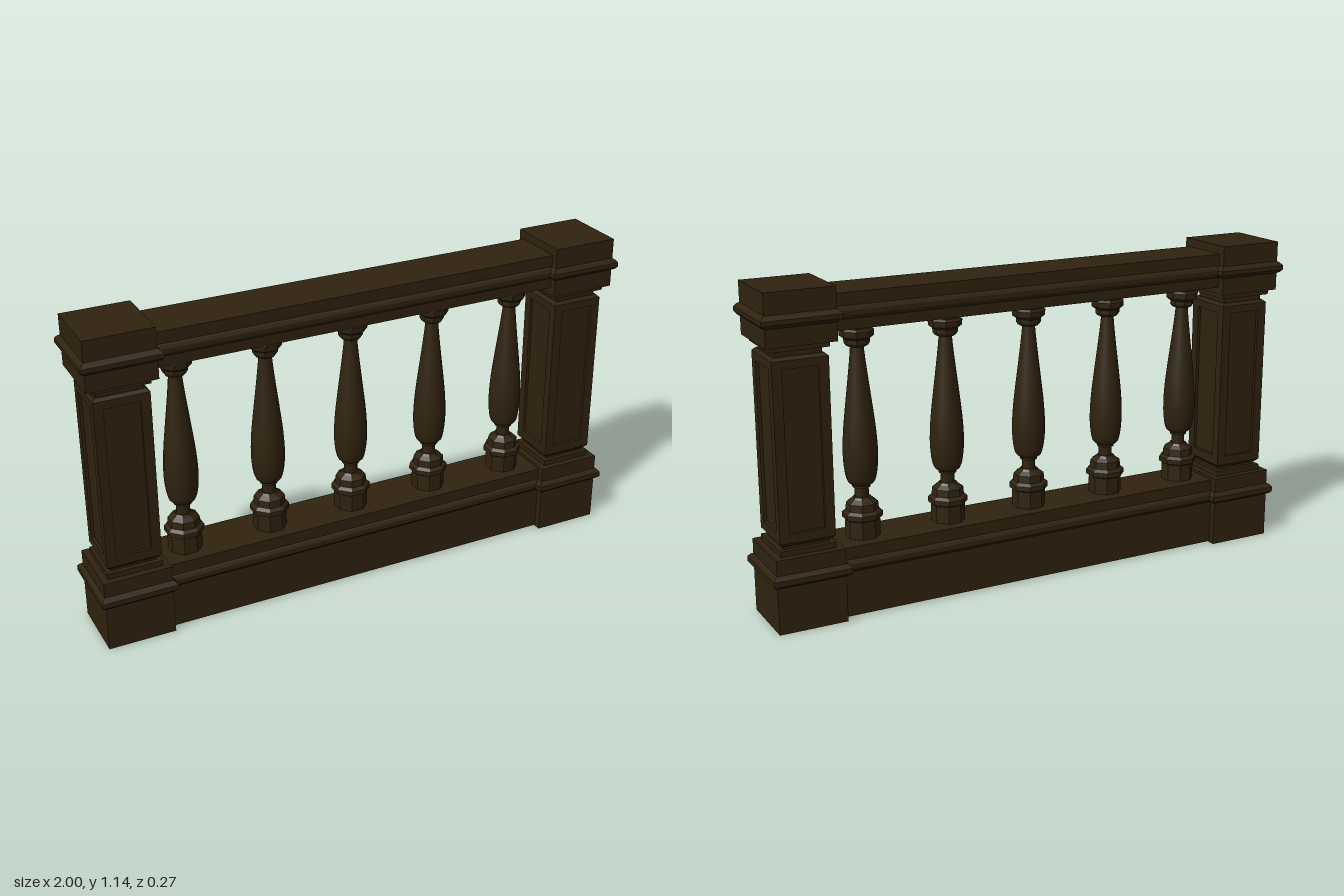
import * as THREE from 'three';

const darkWood = new THREE.MeshStandardMaterial({ color: 0x30230f });
const V = (p) => p.map(([r, y]) => new THREE.Vector2(r, y));

function add(parent, name, geometry, x = 0, y = 0, z = 0) {
  const mesh = new THREE.Mesh(geometry, darkWood);
  mesh.name = name;
  mesh.position.set(x, y, z);
  parent.add(mesh);
  return mesh;
}

// Faceted turning with n sides; the profile gives the distance to each flat side
function faceted(profile, n) {
  const k = 1 / Math.cos(Math.PI / n);
  const points = V(profile.map(([r, y]) => [r * k, y]));
  const g = new THREE.LatheGeometry(points, n, Math.PI / n).toNonIndexed();
  g.computeVertexNormals();
  return g;
}

// Moulded beam running along x, mirrored front to back
function beam(profile, length) {
  const mirrored = profile.map(([z, y]) => [-z, y]).reverse();
  const g = new THREE.ExtrudeGeometry(new THREE.Shape(V([...profile, ...mirrored])), { depth: length, bevelEnabled: false });
  return g.translate(0, 0, -length / 2).rotateY(Math.PI / 2);
}

// Rectangular frame around a recessed panel, facing +z
function panelFrame(halfWidth, y0, y1, depth) {
  const shape = new THREE.Shape(V([[-halfWidth, y0], [halfWidth, y0], [halfWidth, y1], [-halfWidth, y1]]));
  shape.holes.push(new THREE.Path(V([[-0.062, 0.335], [-0.062, 0.885], [0.062, 0.885], [0.062, 0.335]])));
  return new THREE.ExtrudeGeometry(shape, { depth, bevelEnabled: false });
}

function makePost() {
  const post = new THREE.Group();
  post.name = 'post';
  add(post, 'postBase', faceted([
    [0, 0], [0.12, 0], [0.12, 0.163], [0.128, 0.167], [0.136, 0.175], [0.136, 0.193],
    [0.128, 0.203], [0.12, 0.207], [0.12, 0.26], [0.097, 0.26], [0.097, 0.28], [0.08, 0.28], [0.08, 0.293], [0, 0.293],
  ], 4));
  // Shaft core with bevelled ends
  const core = 0.085, face = 0.096, lo = 0.303, hi = 0.913;
  add(post, 'shaftCore', new THREE.BoxGeometry(core * 2, hi - lo, core * 2), 0, (lo + hi) / 2, 0);
  add(post, 'shaftFoot', faceted([[0, 0.291], [0.085, 0.291], [face, lo], [0, lo]], 4));
  add(post, 'shaftHead', faceted([[0, hi], [face, hi], [0.085, 0.923], [0, 0.923]], 4));
  for (let i = 0; i < 4; i++) {
    const frame = add(post, 'panelFrame', panelFrame(i % 2 ? face : core, lo, hi, face - core));
    const a = (i * Math.PI) / 2;
    frame.rotation.y = a;
    frame.position.set(Math.sin(a) * core, 0, Math.cos(a) * core);
  }
  add(post, 'postCap', faceted([
    [0, 0.92], [0.08, 0.92], [0.08, 0.943], [0.1, 0.943], [0.1, 0.962], [0.12, 0.962], [0.12, 1.024],
    [0.128, 1.028], [0.136, 1.038], [0.136, 1.053], [0.128, 1.063], [0.12, 1.068], [0.12, 1.14], [0, 1.14],
  ], 4));
  return post;
}

function makeBaluster() {
  const baluster = new THREE.Group();
  baluster.name = 'baluster';
  add(baluster, 'balusterFoot', faceted([
    [0, 0.245], [0.055, 0.245], [0.055, 0.312], [0.064, 0.318], [0.064, 0.335], [0.052, 0.345],
    [0.05, 0.37], [0.034, 0.382], [0.028, 0.39], [0, 0.39],
  ], 8));
  // Smooth vase-shaped body
  const curve = new THREE.SplineCurve(V([
    [0.03, 0.432], [0.046, 0.444], [0.055, 0.48], [0.059, 0.54], [0.055, 0.62],
    [0.045, 0.71], [0.034, 0.8], [0.026, 0.87], [0.022, 0.915],
  ]));
  add(baluster, 'balusterNeck', new THREE.CylinderGeometry(0.024, 0.024, 0.055, 16), 0, 0.41, 0);
  add(baluster, 'balusterCollar', new THREE.CylinderGeometry(0.031, 0.031, 0.012, 16), 0, 0.43, 0);
  add(baluster, 'balusterBody', new THREE.LatheGeometry(curve.getPoints(24), 16));
  add(baluster, 'balusterHead', faceted([
    [0, 0.912], [0.034, 0.912], [0.04, 0.922], [0.04, 0.935], [0.053, 0.945], [0.054, 0.965],
    [0.046, 0.972], [0.046, 0.995], [0, 0.995],
  ], 8));
  return baluster;
}

export function createModel() {
  const model = new THREE.Group();
  model.name = 'balustrade';
  for (const x of [-0.862, 0.862]) {
    const post = makePost();
    post.position.x = x;
    model.add(post);
  }
  add(model, 'bottomRail', beam([
    [0.094, 0.004], [0.094, 0.163], [0.1, 0.167], [0.106, 0.175], [0.106, 0.193], [0.1, 0.203], [0.094, 0.207], [0.094, 0.25],
  ], 1.5));
  add(model, 'topRail', beam([
    [0.094, 0.988], [0.094, 1.024], [0.1, 1.028], [0.106, 1.038], [0.106, 1.053], [0.1, 1.063], [0.094, 1.068], [0.094, 1.11],
  ], 1.5));
  for (let i = -2; i <= 2; i++) {
    const baluster = makeBaluster();
    baluster.position.x = -0.008 + i * 0.32;
    model.add(baluster);
  }
  return model;
}
